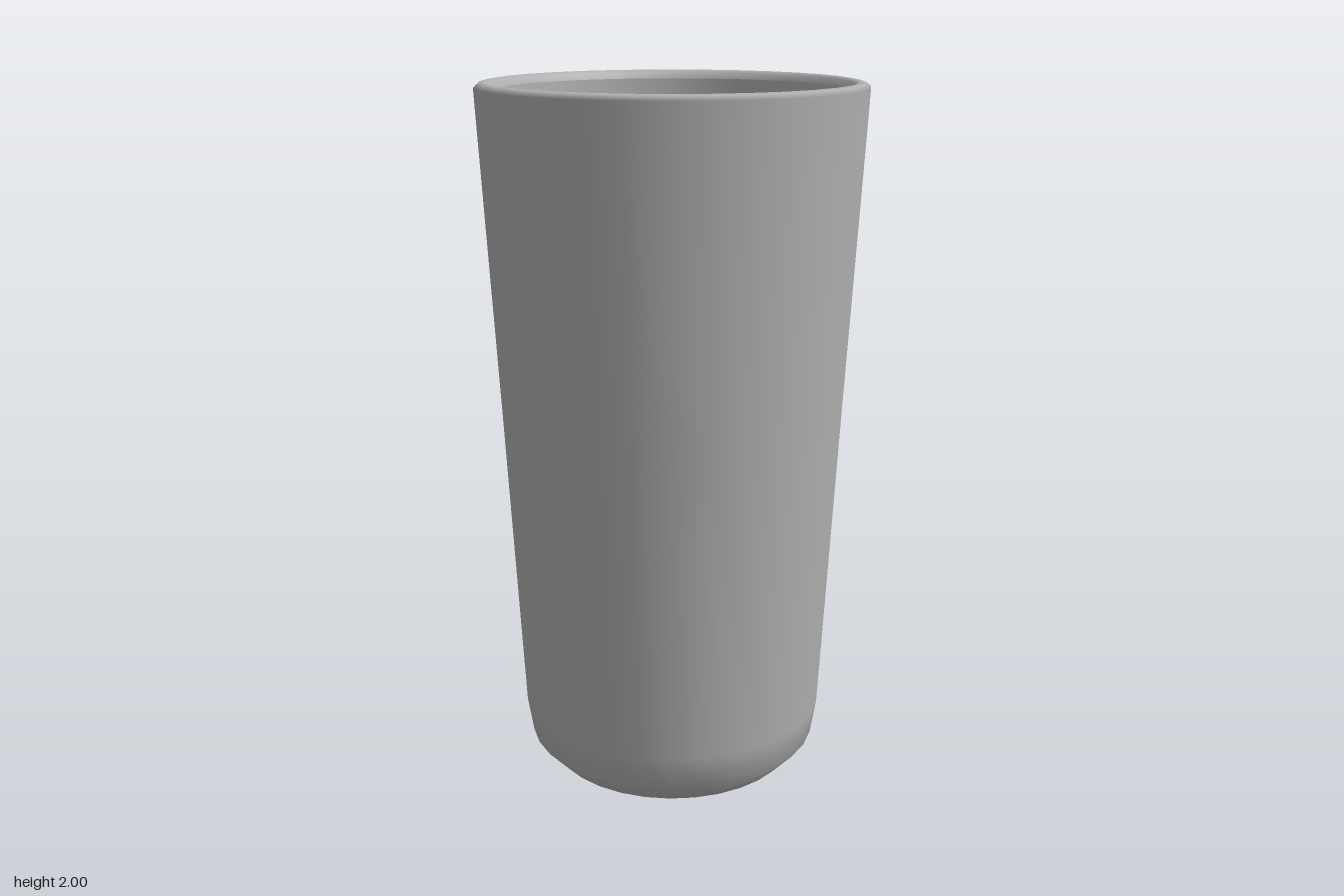
import * as THREE from 'three';

export function createModel() {
  const group = new THREE.Group();
  group.name = 'tumbler';
  const grey = new THREE.MeshStandardMaterial({ color: 0xb0b0b0 });
  grey.name = 'grey';

  // Revolve a [radius, height] profile into a smooth surface
  function turn(name, profile) {
    const points = profile.map(([r, y]) => new THREE.Vector2(r, y));
    const mesh = new THREE.Mesh(new THREE.LatheGeometry(points, 32), grey);
    mesh.name = name;
    group.add(mesh);
  }

  // Tapered outside with a rounded foot and a rolled rim
  turn('outerWallAndRim', [
    [0.37, 0], [0.43, 0.065], [0.447, 0.17], [0.493, 1.08],
    [0.541, 1.985], [0.528, 1.997], [0.512, 2], [0.497, 1.993], [0.49, 1.975],
  ]);

  // Inside wall curving into the floor ring around the open base
  turn('innerWallAndFloor', [
    [0.49, 1.975], [0.488, 1.9], [0.446, 1.08], [0.404, 0.28],
    [0.385, 0.2], [0.335, 0.155],
  ]);

  // Flared wall of the hole through the base
  turn('baseOpening', [[0.335, 0.155], [0.37, 0]]);

  return group;
}
